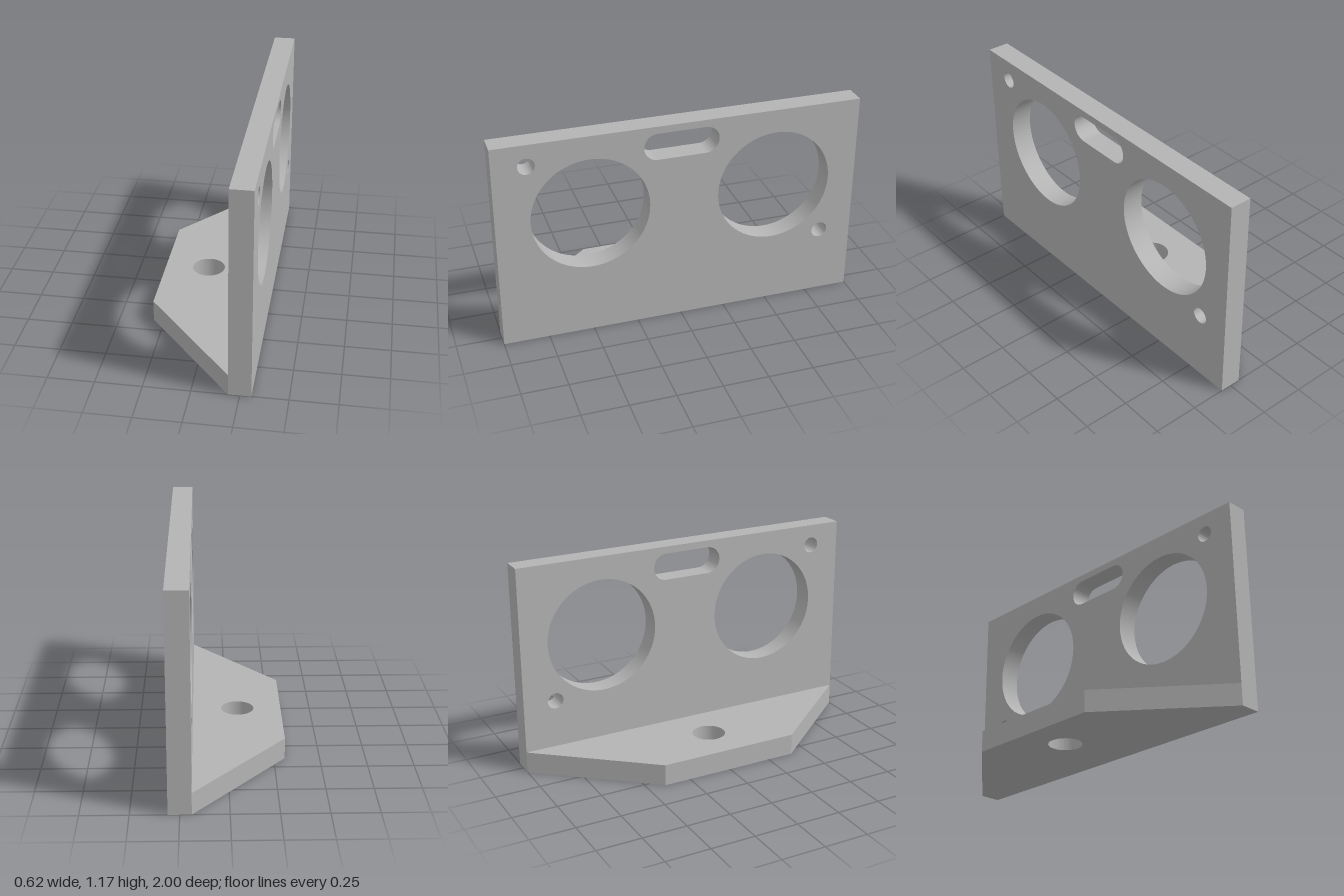
import * as THREE from 'three';
import { toCreasedNormals } from 'three/addons/utils/BufferGeometryUtils.js';

const THICK = 0.12;

function circle(x, y, r) {
  const p = new THREE.Path();
  p.absarc(x, y, r, 0, Math.PI * 2, true);
  return p;
}

// Horizontal slot with round ends
function slot(x, y, halfLength, r) {
  const p = new THREE.Path();
  const d = halfLength - r;
  p.absarc(x + d, y, r, -Math.PI / 2, Math.PI / 2, false);
  p.absarc(x - d, y, r, Math.PI / 2, Math.PI * 1.5, false);
  p.closePath();
  return p;
}

function plate(points, holes) {
  const shape = new THREE.Shape(points.map(([x, y]) => new THREE.Vector2(x, y)));
  shape.holes.push(...holes);
  return new THREE.ExtrudeGeometry(shape, { depth: THICK, bevelEnabled: false, curveSegments: 48 });
}

export function createModel() {
  const group = new THREE.Group();
  group.name = 'sensorBracket';
  const grey = new THREE.MeshStandardMaterial({ color: 0xb4b4b4 });
  grey.name = 'grey';

  const add = (name, geometry) => {
    const mesh = new THREE.Mesh(toCreasedNormals(geometry, 0.5), grey);
    mesh.name = name;
    group.add(mesh);
  };

  // Upright plate: drawn in (-z, y), extruded along x
  const upright = plate(
    [[-1, 0], [1, 0], [1, 1.17], [-1, 1.17]],
    [
      circle(-0.495, 0.72, 0.32), // large openings
      circle(0.525, 0.72, 0.32),
      circle(-0.82, 1.05, 0.045), // screw holes
      circle(0.815, 0.39, 0.045),
      slot(0, 1.055, 0.205, 0.075),
    ]
  );
  upright.rotateY(Math.PI / 2).translate(0.19, 0, 0);
  add('uprightPlate', upright);

  // Tapered foot with a mounting hole: drawn in (x, -z), extruded along y
  const foot = plate(
    [[-0.31, -0.4], [0.19, -1], [0.19, 1], [-0.31, 0.4]],
    [circle(-0.063, 0, 0.092)]
  );
  foot.rotateX(-Math.PI / 2);
  add('footPlate', foot);

  return group;
}
